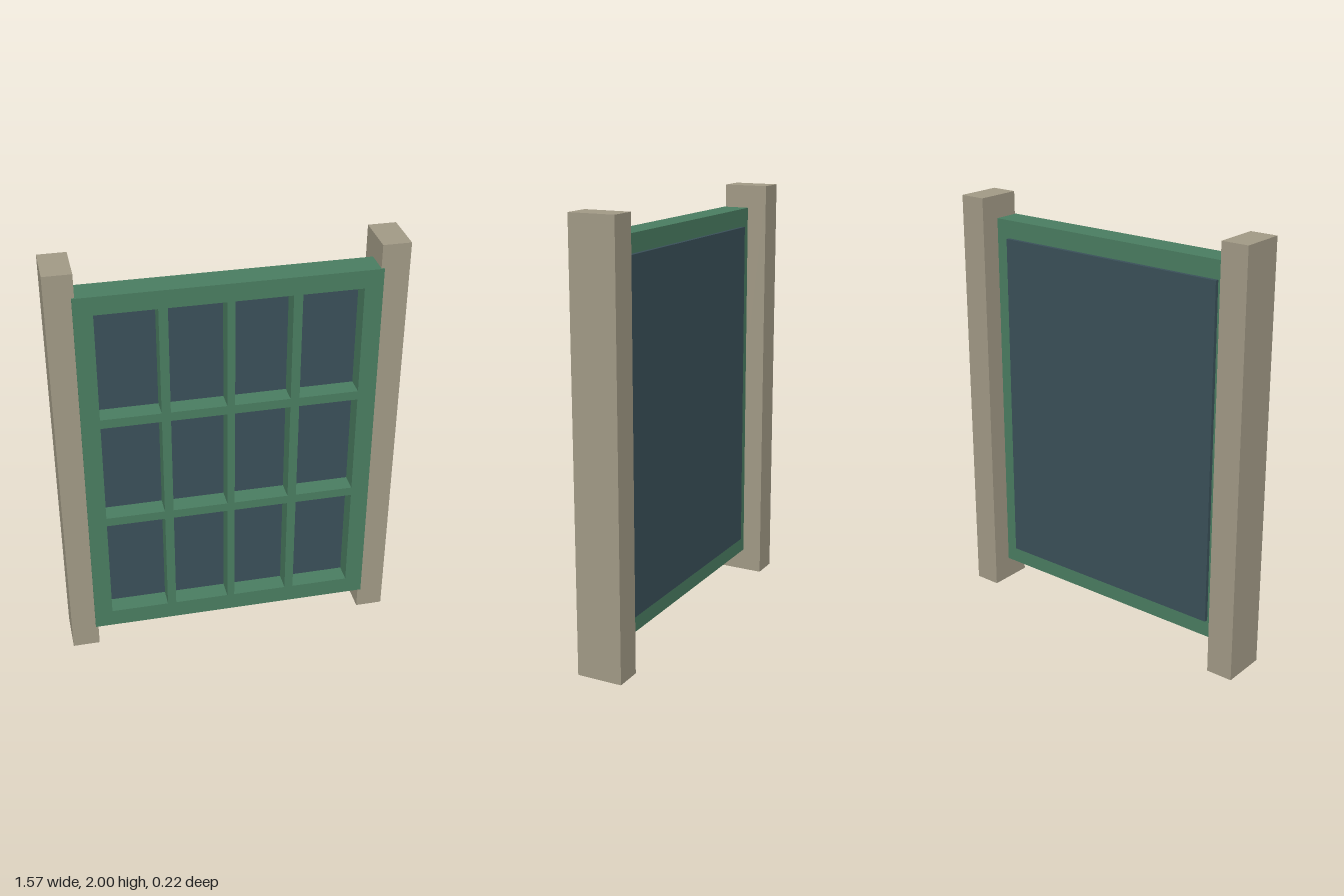
import * as THREE from 'three';

const material = (color) => new THREE.MeshStandardMaterial({ color, flatShading: true });

// Box given by its min and max corners
function addBox(group, name, mat, [x0, y0, z0], [x1, y1, z1]) {
  const mesh = new THREE.Mesh(new THREE.BoxGeometry(x1 - x0, y1 - y0, z1 - z0), mat);
  mesh.position.set((x0 + x1) / 2, (y0 + y1) / 2, (z0 + z1) / 2);
  mesh.name = name;
  group.add(mesh);
}

function rectangle(path, x0, y0, x1, y1) {
  path.moveTo(x0, y0);
  path.lineTo(x1, y0);
  path.lineTo(x1, y1);
  path.lineTo(x0, y1);
  path.closePath();
  return path;
}

export function createModel() {
  const group = new THREE.Group();
  group.name = 'window';
  const stone = material(0xa29a86);
  const paint = material(0x4a7d61);
  const glass = material(0x3a5059);

  // Side posts
  addBox(group, 'rightPost', stone, [-0.787, 0, -0.112], [-0.659, 2, 0.103]);
  addBox(group, 'leftPost', stone, [0.657, 0, -0.112], [0.785, 2, 0.103]);

  const back = -0.017, front = 0.11, glassFront = 0.022;

  // Outer frame: a slab with one large opening
  const outline = rectangle(new THREE.Shape(), -0.672, 0.108, 0.67, 1.892);
  outline.holes.push(rectangle(new THREE.Path(), -0.587, 0.194, 0.586, 1.807));
  const frame = new THREE.Mesh(
    new THREE.ExtrudeGeometry(outline, { depth: front - back, bevelEnabled: false }), paint);
  frame.position.z = back;
  frame.name = 'frame';
  group.add(frame);

  // Glazing bars: one slab with a 4 x 3 grid of pane openings
  const columns = [[-0.587, -0.314], [-0.273, -0.018], [0.017, 0.272], [0.313, 0.586]];
  const rows = [[0.194, 0.711], [0.754, 1.247], [1.291, 1.807]];
  const grid = rectangle(new THREE.Shape(), -0.61, 0.17, 0.61, 1.83);
  for (const [x0, x1] of columns) {
    for (const [y0, y1] of rows) grid.holes.push(rectangle(new THREE.Path(), x0, y0, x1, y1));
  }
  const bars = new THREE.Mesh(
    new THREE.ExtrudeGeometry(grid, { depth: front - glassFront, bevelEnabled: false }), paint);
  bars.position.z = glassFront;
  bars.name = 'glazingBars';
  group.add(bars);

  // Glass sheet, standing slightly proud of the frame's back
  addBox(group, 'glass', glass, [-0.587, 0.194, -0.035], [0.586, 1.807, glassFront]);

  return group;
}
